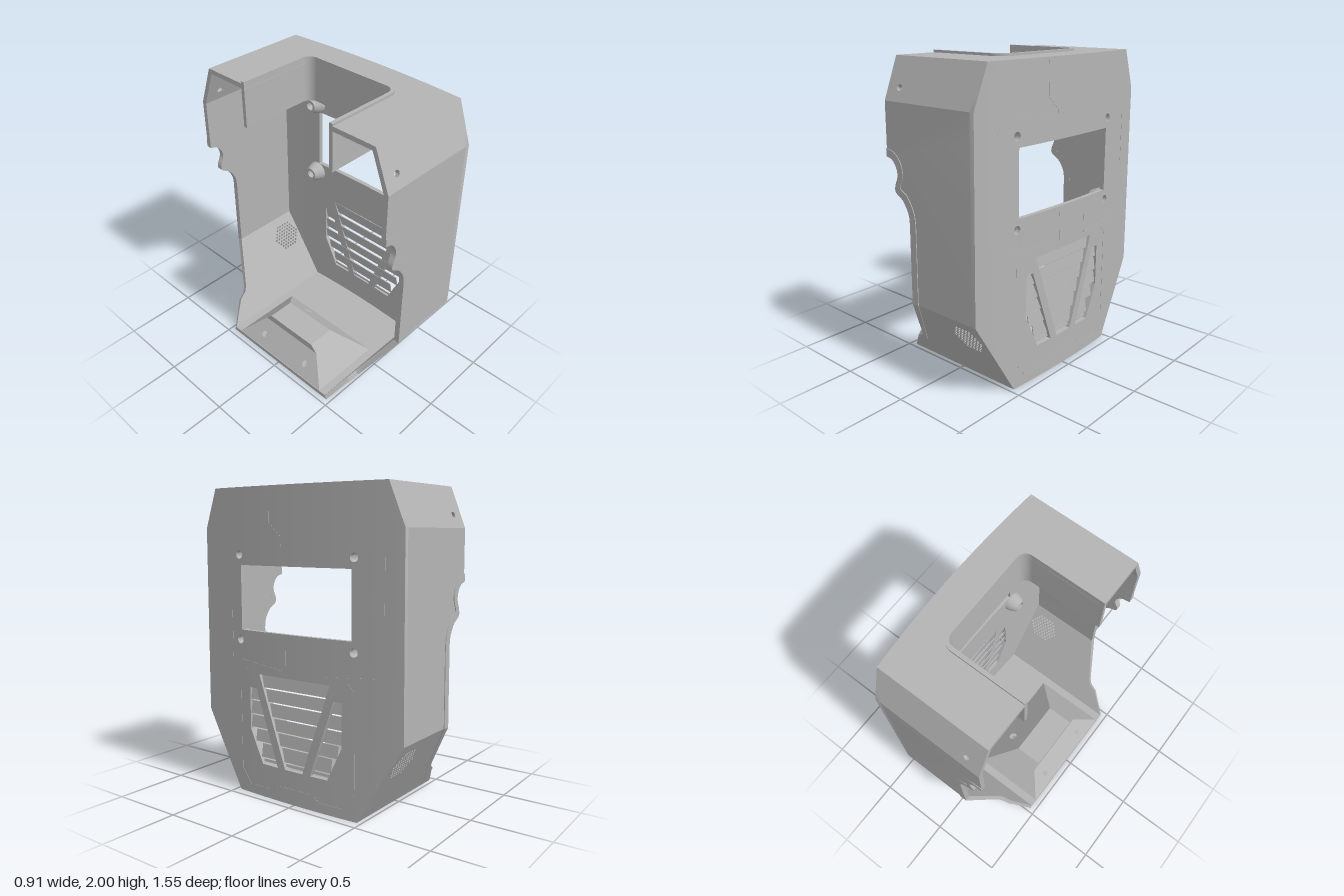
import * as THREE from 'three';
import { toCreasedNormals } from 'three/addons/utils/BufferGeometryUtils.js';

const T = 0.03;                                   // wall thickness
const V = (x, y) => new THREE.Vector2(x, y);
const vecs = list => list.map(p => V(p[0], p[1]));
const lerp = THREE.MathUtils.lerp;
const surf = z => 0.45 - 0.07 * z * z;            // bowed face plate

// Half section of the shell (z, y): outer and inner corners
const OUT = [[0.47, 0], [0.77, 0.51], [0.76, 1.73], [0.66, 1.985]];
const INN = [[0.455, 0.03], [0.74, 0.517], [0.73, 1.723], [0.64, 1.955]];

export function createModel() {
  const model = new THREE.Group();
  const grey = new THREE.MeshStandardMaterial({ color: 0xb4b4b4, side: THREE.DoubleSide });
  grey.name = 'grey plastic';

  const add = (name, geo) => {
    const mesh = new THREE.Mesh(geo, grey);
    mesh.name = name;
    model.add(mesh);
    return mesh;
  };

  // Move every vertex by a rule, then make the faces point outwards
  function finish(geo, rule, crease = 0.4) {
    const src = geo.index ? geo.toNonIndexed() : geo;
    const p = src.attributes.position, pts = [];
    for (let i = 0; i < p.count; i++) pts.push(new THREE.Vector3(...rule(p.getX(i), p.getY(i), p.getZ(i))));
    const mid = new THREE.Box3().setFromPoints(pts).getCenter(new THREE.Vector3());
    let volume = 0;
    for (let i = 0; i < pts.length; i += 3) {
      const [a, b, c] = [0, 1, 2].map(k => pts[i + k].clone().sub(mid));
      volume += a.dot(b.cross(c));
    }
    if (volume < 0) for (let i = 0; i < pts.length; i += 3) [pts[i + 1], pts[i + 2]] = [pts[i + 2], pts[i + 1]];
    const out = new THREE.BufferGeometry().setFromPoints(pts);
    out.computeVertexNormals();
    return toCreasedNormals(out, crease);
  }

  const oval = (x, y, rx, ry = rx, n = 16) =>
    new THREE.Path(new THREE.EllipseCurve(x, y, rx, ry, 0, Math.PI * 2).getPoints(n).slice(0, n));
  const shapeOf = (pts, holes = []) => {
    const s = new THREE.Shape(pts);
    s.holes = holes;
    return s;
  };
  const solid = (pts, holes, depth = 1) =>
    new THREE.ExtrudeGeometry(shapeOf(pts, holes), { depth, bevelEnabled: false, curveSegments: 8 });

  // Shell panel drawn in (x, v), laid between two section corners with mitred edges
  function panel(name, pts, holes, [v0, v1], [p0, p1], [q0, q1], d0 = 0, d1 = 1) {
    add(name, finish(solid(pts, holes), (x, v, d) => {
      const u = (v - v0) / (v1 - v0), k = lerp(d0, d1, d);
      return [x, lerp(lerp(p0[1], p1[1], u), lerp(q0[1], q1[1], u), k),
        lerp(lerp(p0[0], p1[0], u), lerp(q0[0], q1[0], u), k)];
    }));
  }
  const frontEdge = (v0, v1, zOf) => Array.from({ length: 17 }, (_, i) => {
    const v = lerp(v0, v1, i / 16);
    return V(surf(zOf(v)) - T, v);
  });

  // Open back edge of the side walls (x, y) and the inner line of its trim
  const smooth = list => new THREE.SplineCurve(vecs(list)).getPoints(40);
  const wave = smooth([[-0.12, 1.02], [-0.13, 1.08], [-0.175, 1.15], [-0.235, 1.19], [-0.24, 1.23],
    [-0.217, 1.29], [-0.225, 1.34], [-0.26, 1.385], [-0.31, 1.40]]);
  const waveTrim = smooth([[-0.07, 1.02], [-0.085, 1.1], [-0.14, 1.185], [-0.19, 1.215], [-0.195, 1.24],
    [-0.172, 1.3], [-0.185, 1.37], [-0.24, 1.43], [-0.31, 1.45]]);
  const lowEdge = vecs([[-0.46, 0], [-0.33, 0.15], [-0.27, 0.18], [-0.245, 0.215], [-0.12, 0.51]]);
  const lowTrim = vecs([[-0.07, 0.51], [-0.24, 0.15], [-0.34, 0.14]]);
  const backEdges = [
    lowEdge,
    [V(-0.12, 0.51), ...wave, V(-0.31, 1.73)],
    vecs([[-0.31, 1.73], [-0.31, 1.985]]),
  ];

  // Speaker perforation: four hexagonal rings
  const speaker = [];
  for (let q = -4; q <= 4; q++) for (let r = -4; r <= 4; r++) {
    if (Math.abs(q + r) <= 4)
      speaker.push(oval(0.265 + (q + r / 2) * 0.026, 0.365 + r * 0.0225 * 0.86, 0.009, 0.0078, 8));
  }
  const sideHoles = [speaker, [], [oval(-0.21, 1.81, 0.021, 0.018)]];
  const names = ['lowerSide', 'side', 'upperBevel'];

  for (const s of [1, -1]) {
    const flip = p => [p[0] * s, p[1]];
    for (let i = 0; i < 3; i++) {
      const [a, b] = [OUT[i], OUT[i + 1]], range = [a[1], b[1]];
      const P = [flip(a), flip(b)], Q = [flip(INN[i]), flip(INN[i + 1])];
      const front = frontEdge(a[1], b[1], y => lerp(a[0], b[0], (y - a[1]) / (b[1] - a[1])));
      panel(names[i], [...front, ...backEdges[i].slice().reverse()], sideHoles[i], range, P, Q);
      // Slightly raised trim along the open edge
      if (i === 0) panel('lowerTrim', [...lowEdge.slice(1), ...lowTrim], [], range, P, Q, -0.17, 1.02);
      if (i === 1) panel('sideTrim', [V(-0.12, 0.51), ...wave, ...waveTrim.slice().reverse(), V(-0.07, 0.51)],
        [], range, P, Q, -0.17, 1.02);
    }
  }

  // Top with its U-shaped notch, and the collar lining the notch
  const notch = (hz, xe, r) => {
    const p = new THREE.Path();
    p.moveTo(-0.31, -hz);
    p.lineTo(xe - r, -hz);
    p.absarc(xe - r, -hz + r, r, -Math.PI / 2, 0);
    p.absarc(xe - r, hz - r, r, 0, Math.PI / 2);
    p.lineTo(-0.31, hz);
    return p.getPoints(8);
  };
  panel('top', [V(-0.31, -0.66), ...frontEdge(-0.66, 0.66, z => z), V(-0.31, 0.66), ...notch(0.35, 0.24, 0.07).reverse()],
    [], [-0.66, 0.66], [[-0.66, 1.985], [0.66, 1.985]], [[-0.64, 1.955], [0.64, 1.955]]);
  add('notchCollar', finish(solid([...notch(0.365, 0.255, 0.085), ...notch(0.34, 0.23, 0.06).reverse()], [], 0.3),
    (x, z, d) => [x, 1.7 + d, z]));

  // Floor with its screw holes
  panel('floor', [V(-0.46, -0.47), ...frontEdge(-0.47, 0.47, z => z), V(-0.46, 0.47)],
    [oval(-0.036, -0.125, 0.027), oval(-0.34, 0.21, 0.042), oval(-0.34, -0.21, 0.042)],
    [-0.47, 0.47], [[-0.47, 0], [0.47, 0]], [[-0.455, T], [0.455, T]]);

  // Hollow raised block on the floor, made of sloping sheets
  const sheet = (name, pts, holes, rule) =>
    add(name, finish(new THREE.ShapeGeometry(shapeOf(vecs(pts), holes)), rule));
  sheet('blockTop', [[-0.33, -0.2], [-0.14, -0.2], [-0.14, 0.2], [-0.33, 0.2]], [], (x, z) => [x, 0.23, z]);
  sheet('blockFront', [[-0.14, -0.2], [0.06, -0.4], [0.06, 0.4], [-0.14, 0.2]], [oval(-0.03, -0.125, 0.027)],
    (x, z) => [x, 0.09 - x, z]);
  sheet('blockBack', [[-0.455, -0.4], [-0.33, -0.25], [-0.33, 0.25], [-0.455, 0.4]],
    [oval(-0.4, -0.205, 0.015, 0.02), oval(-0.4, 0.205, 0.015, 0.02)], (x, z) => [x, 0.03 + (x + 0.455) * 1.2, z]);
  sheet('blockStep', [[-0.25, 0.18], [0.25, 0.18], [0.2, 0.23], [-0.2, 0.23]], [], (z, y) => [-0.33, y, z]);
  for (const s of [1, -1])
    sheet('blockFlank', [[-0.455, 0.4], [-0.33, 0.25], [-0.33, 0.2], [-0.14, 0.2], [0.06, 0.4]], [],
      (x, z) => [x, 0.43 - z, z * s]);

  // Face plate: drawn flat in (z, y), cut into upright strips, then bowed
  const mirror = list => list.map(([z, y]) => [-z, y]);
  const path = list => new THREE.Path(vecs(list));
  const sideVent = [[0.365, 0.715], [0.306, 0.715], [0.13, 0.22], [0.26, 0.22], [0.365, 0.44]];
  const screws = [[0.445, 1.565], [-0.445, 1.565], [0.445, 1.02], [-0.445, 1.02]];
  const plate = solid(vecs([...OUT, ...mirror(OUT).reverse()]), [
    path([[-0.43, 1.085], [0.43, 1.085], [0.43, 1.5], [-0.43, 1.5]]),
    path([[-0.28, 0.81], [-0.07, 0.22], [0.07, 0.22], [0.28, 0.81]]),
    path(sideVent), path(mirror(sideVent)),
    ...screws.map(([z, y]) => oval(z, y, 0.027)),
  ], T);

  const flat = plate.index ? plate.toNonIndexed() : plate;
  let tris = [];
  for (let i = 0; i < flat.attributes.position.count; i += 3)
    tris.push([0, 1, 2].map(k => new THREE.Vector3().fromBufferAttribute(flat.attributes.position, i + k)));
  for (let n = -8; n <= 8; n++) {
    const cut = n * 0.0917 + 0.0013, next = [];
    for (const tri of tris) for (const s of [1, -1]) {
      const poly = [];
      tri.forEach((a, i) => {
        const b = tri[(i + 1) % 3], da = s * (a.x - cut), db = s * (b.x - cut);
        if (da >= 0) poly.push(a);
        if (da * db < 0) poly.push(a.clone().lerp(b, da / (da - db)));
      });
      for (let i = 2; i < poly.length; i++) next.push([poly[0], poly[i - 1], poly[i]]);
    }
    tris = next;
  }
  add('facePlate', finish(new THREE.BufferGeometry().setFromPoints(tris.flat()),
    (z, y, d) => [surf(z) - T + d, y, z]));

  // Tilted louvre slats behind the vent openings
  const rows = [0.81, 0.715, 0.625, 0.53, 0.44, 0.35, 0.25];
  rows.forEach((top, i) => {
    const low = i < 6 ? rows[i + 1] + 0.012 : 0.232;
    const half = i === 0 ? 0.3 : Math.min(0.365, 0.365 - (0.44 - low) * 0.48);
    const slat = add('louvreSlat', new THREE.BoxGeometry(0.006, top - low, half * 2));
    slat.position.set(0.424, (top + low) / 2, 0);
    slat.rotation.z = 0.15;
  });

  // Screw bosses behind the plate
  for (const [z, y] of screws) {
    const boss = add('screwBoss', new THREE.LatheGeometry(
      vecs([[0.027, 0], [0.027, 0.075], [0.045, 0.075], [0.065, 0.03], [0.07, 0]]), 20));
    boss.geometry = toCreasedNormals(boss.geometry, 0.5);
    boss.rotation.z = Math.PI / 2;
    boss.position.set(surf(z) - T, y, z);
  }

  // Fine panel lines on the face plate
  const seams = [
    [[0.52, 1.25], [0.52, 0.9], [0.06, 0.85], [0.06, 1.05]],
    [[-0.2, 1.0], [-0.2, 0.85], [-0.58, 0.88]],
    [[0.18, 1.97], [0.18, 1.76], [0.09, 1.68], [0.09, 1.62]],
    [[0.6, 1.6], [0.55, 1.66], [0.1, 1.66]],
    [[-0.64, 1.25], [-0.64, 1.6]], [[-0.3, 1.86], [-0.22, 1.75]],
    [[0.4, 0.84], [0.45, 0.79], [0.45, 0.16], [0.37, 0.06], [0.2, 0.06], [0.15, 0.1], [-0.15, 0.1],
      [-0.2, 0.06], [-0.37, 0.06], [-0.45, 0.16], [-0.45, 0.79], [-0.4, 0.84]],
  ];
  for (const line of seams) for (let i = 1; i < line.length; i++) {
    const a = V(...line[i - 1]), b = V(...line[i]);
    const strip = new THREE.BoxGeometry(a.distanceTo(b), 0.006, 0.003, 8, 1, 1);
    strip.rotateZ(Math.atan2(b.y - a.y, b.x - a.x));
    strip.translate((a.x + b.x) / 2, (a.y + b.y) / 2, 0);
    add('panelLine', finish(strip, (z, y, d) => [surf(z) + d, y, z]));
  }
  return model;
}
